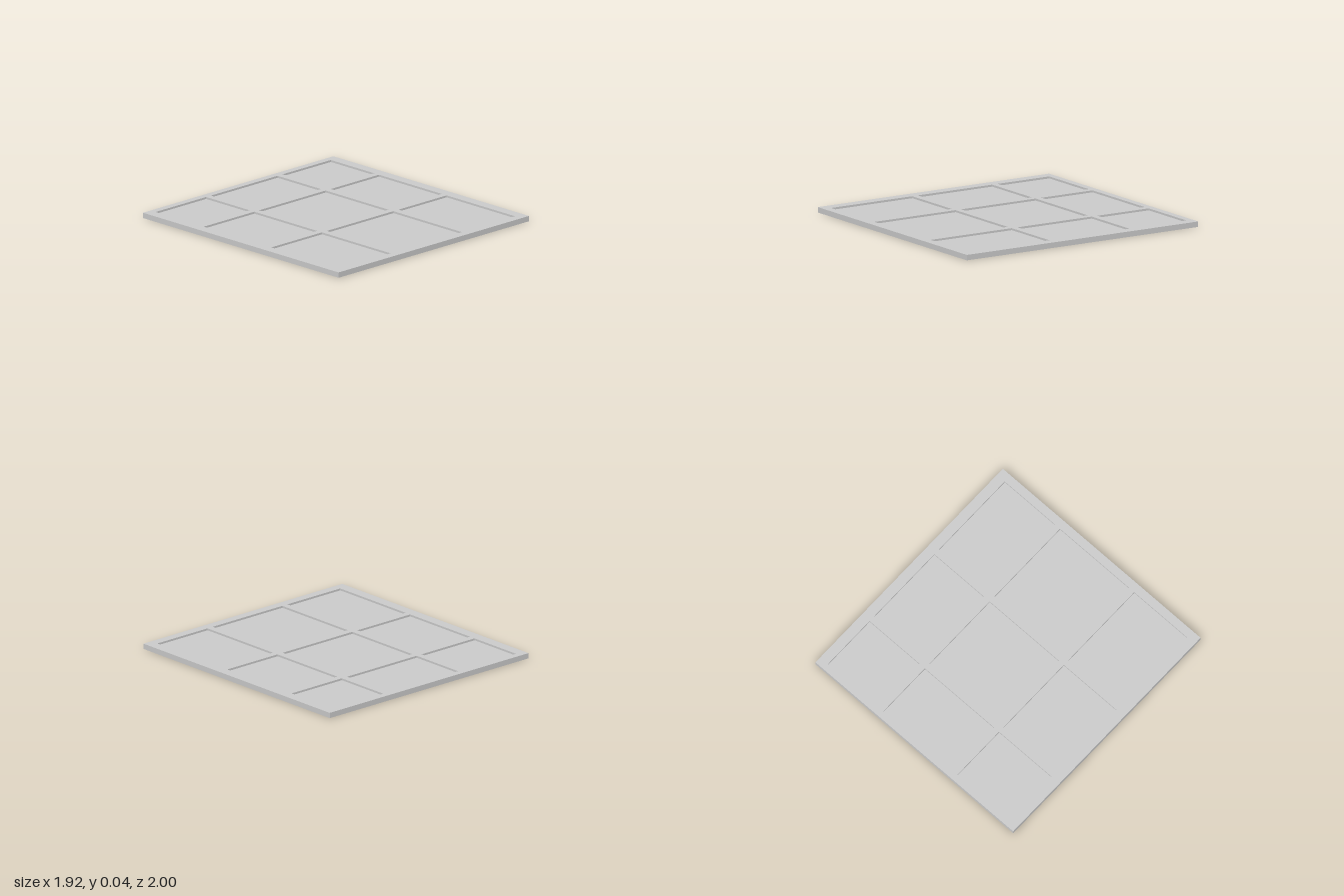
import * as THREE from 'three';

// Outer half sizes and frame thickness
const HX = 0.96, HZ = 1, THICK = 0.04;
// Pane thickness and height of its underside
const PANE = 0.011, PANE_Y = 0.014;
// Opening limits by column (x) and by row (z)
const COLUMNS = [[-0.884, -0.373], [-0.325, 0.347], [0.398, 0.884]];
const ROWS = [[-0.95, -0.505], [-0.457, 0.186], [0.235, 0.937]];

const rectangle = (PathType, x0, x1, z0, z1) => new PathType([
  new THREE.Vector2(x0, z0), new THREE.Vector2(x1, z0),
  new THREE.Vector2(x1, z1), new THREE.Vector2(x0, z1),
]);

export function createModel() {
  const model = new THREE.Group();
  model.name = 'windowPanel';
  const material = new THREE.MeshStandardMaterial({ color: 0xcccccc });

  const outline = rectangle(THREE.Shape, -HX, HX, -HZ, HZ);
  const panes = new THREE.Group();
  panes.name = 'panes';

  ROWS.forEach(([z0, z1], r) => COLUMNS.forEach(([x0, x1], c) => {
    outline.holes.push(rectangle(THREE.Path, x0, x1, z0, z1));
    // Thin pane set between the two faces of the frame
    const pane = new THREE.Mesh(new THREE.BoxGeometry(x1 - x0, PANE, z1 - z0), material);
    pane.position.set((x0 + x1) / 2, PANE_Y + PANE / 2, (z0 + z1) / 2);
    pane.name = `pane row ${r + 1} column ${c + 1}`;
    panes.add(pane);
  }));

  // Frame with muntin bars, laid flat
  const frameGeometry = new THREE.ExtrudeGeometry(outline, { depth: THICK, bevelEnabled: false });
  frameGeometry.rotateX(Math.PI / 2).translate(0, THICK, 0);
  const frame = new THREE.Mesh(frameGeometry, material);
  frame.name = 'frame';

  model.add(frame, panes);
  return model;
}
